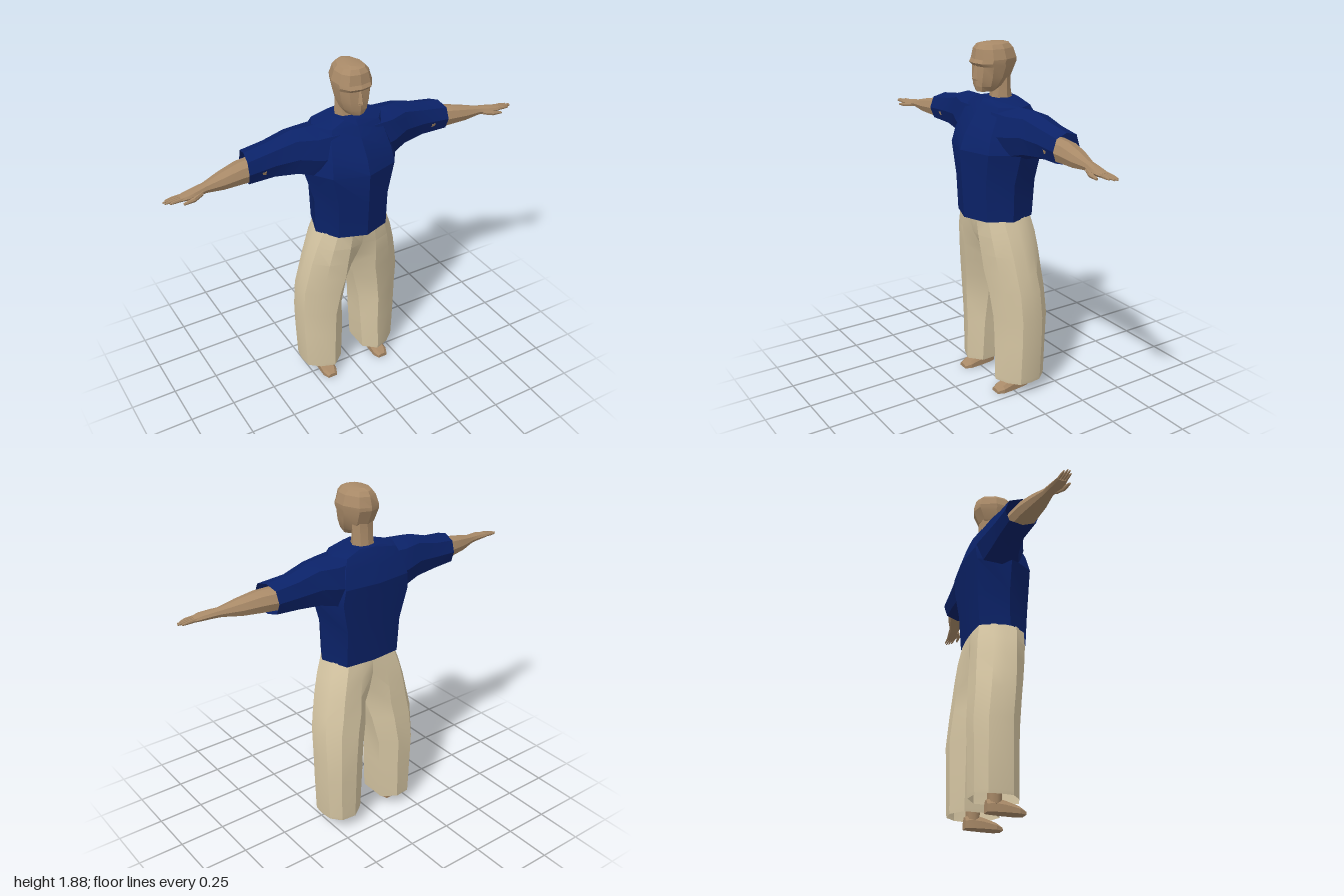
import * as THREE from 'three';
import { toCreasedNormals } from 'three/addons/utils/BufferGeometryUtils.js';

const skin = new THREE.MeshStandardMaterial({ color: 0xa98a68 });
skin.name = 'skin';
const shirtBlue = new THREE.MeshStandardMaterial({ color: 0x0b2268, side: THREE.DoubleSide });
shirtBlue.name = 'shirt blue';
const khaki = new THREE.MeshStandardMaterial({ color: 0xd6c6a3, side: THREE.DoubleSide });
khaki.name = 'khaki';

// Skin over a row of equal-length point rings, facing outwards
function loft(name, material, rings, { capStart = true, capEnd = true, crease = 0.35, mirror = 1 } = {}) {
  const n = rings[0].length;
  const pts = rings.flat().map(([x, y, z]) => new THREE.Vector3(x * mirror, y, z));
  const index = [];
  for (let r = 0; r < rings.length - 1; r++) {
    for (let i = 0; i < n; i++) {
      const a = r * n + i, b = r * n + (i + 1) % n;
      index.push(a, b, a + n, b, b + n, a + n);
    }
  }
  const addCap = (start, flip) => {
    const c = new THREE.Vector3();
    for (let i = 0; i < n; i++) c.addScaledVector(pts[start + i], 1 / n);
    const ci = pts.push(c) - 1;
    for (let i = 0; i < n; i++) {
      const a = start + i, b = start + (i + 1) % n;
      index.push(ci, flip ? b : a, flip ? a : b);
    }
  };
  const last = (rings.length - 1) * n;
  if (capStart) addCap(0, true);
  if (capEnd) addCap(last, false);

  // Turn the faces around if the enclosed volume is negative
  const mid = new THREE.Vector3();
  pts.forEach((p) => mid.addScaledVector(p, 1 / pts.length));
  const [u, v, w] = [0, 1, 2].map(() => new THREE.Vector3());
  let volume = 0;
  for (let i = 0; i < index.length; i += 3) {
    u.subVectors(pts[index[i]], mid);
    v.subVectors(pts[index[i + 1]], mid);
    w.subVectors(pts[index[i + 2]], mid);
    volume += u.dot(v.cross(w));
  }
  if (volume < 0) index.reverse();

  const geometry = new THREE.BufferGeometry().setFromPoints(pts);
  geometry.setIndex(index);
  const mesh = new THREE.Mesh(toCreasedNormals(geometry, crease), material);
  mesh.name = name;
  return mesh;
}

// Close a half outline [x, z] (front to back) into a symmetric ring at height y
function symmetric(y, half) {
  const other = half.slice(1, -1).reverse().map(([x, z]) => [-x, z]);
  return [...half, ...other].map(([x, z]) => [x, y, z]);
}

// Rounded section across the x axis
function armRing([x, top, bottom, front, back], sides = 8, slant = 0) {
  return Array.from({ length: sides }, (_, i) => {
    const a = (i / sides) * Math.PI * 2;
    const soft = (t) => Math.sign(t) * Math.abs(t) ** 0.8;
    const c = soft(Math.cos(a)), s = soft(Math.sin(a));
    return [x + slant * c, (top + bottom) / 2 + s * (top - bottom) / 2, (front + back) / 2 + c * (front - back) / 2];
  });
}

// Rectangular section across the z axis, narrower on top
const footRing = ([z, x0, x1, h]) =>
  [[x0, 0, z], [x1, 0, z], [x1, h * 0.6, z], [x1 - 0.015, h, z], [x0 + 0.015, h, z], [x0, h * 0.6, z]];

function createHead() {
  const head = new THREE.Group();
  head.name = 'head';
  // y, half width, front half width, front z, back z
  const rings = [
    [1.638, 0.045, 0.028, 0.098, -0.01],
    [1.665, 0.066, 0.04, 0.105, -0.05],
    [1.71, 0.083, 0.05, 0.106, -0.092],
    [1.765, 0.092, 0.055, 0.102, -0.115],
    [1.782, 0.095, 0.058, 0.118, -0.122],
    [1.80, 0.096, 0.058, 0.108, -0.122],
    [1.85, 0.08, 0.05, 0.1, -0.108],
    [1.872, 0.062, 0.04, 0.085, -0.092],
    [1.88, 0.03, 0.022, 0.06, -0.06],
  ].map(([y, w, f, zf, zb]) => symmetric(y, [
    [0, zf], [f, zf - 0.012], [w * 0.94, zf * 0.5], [w, (zf + zb) / 2 - 0.01], [w * 0.62, zb + 0.02], [0, zb],
  ]));
  head.add(loft('skull', skin, rings, { crease: 0.3 }));
  head.add(loft('nose', skin, [
    symmetric(1.695, [[0, 0.118], [0.016, 0.1], [0, 0.09]]),
    symmetric(1.705, [[0, 0.125], [0.016, 0.1], [0, 0.09]]),
    symmetric(1.77, [[0, 0.108], [0.008, 0.098], [0, 0.09]]),
  ], { crease: 0.1 }));
  head.add(loft('neck', skin, [[1.56, 0.064, 0.015, -0.105], [1.64, 0.06, 0.0, -0.092], [1.72, 0.062, 0.0, -0.088]]
    .map(([y, w, zf, zb]) => symmetric(y, [
      [0, zf], [w * 0.65, zf - 0.01], [w, (zf + zb) / 2], [w * 0.65, zb + 0.01], [0, zb],
    ]))));
  return head;
}

function createTorso() {
  // y, half width, front z, back z
  const rings = [
    [0.985, 0.215, 0.18, -0.15],
    [1.18, 0.218, 0.192, -0.165],
    [1.35, 0.268, 0.2, -0.182],
    [1.43, 0.255, 0.172, -0.19],
    [1.52, 0.23, 0.112, -0.16],
    [1.572, 0.2, 0.078, -0.138],
    [1.6, 0.085, 0.058, -0.125],
  ].map(([y, w, zf, zb]) => symmetric(y, [
    [0, zf], [w * 0.66, zf * 0.72], [w, (zf + zb) / 2], [w * 0.76, zb * 0.9], [0, zb],
  ]));
  return loft('shirtBody', shirtBlue, rings, { capStart: false });
}

function createArm(mirror) {
  const arm = new THREE.Group();
  arm.name = mirror > 0 ? 'leftArm' : 'rightArm';
  const sleeve = [
    [0.1, 1.28, 1.585, 0.11, -0.165],
    [0.21, 1.31, 1.575, 0.095, -0.165],
    [0.31, 1.34, 1.575, 0.055, -0.143],
    [0.43, 1.358, 1.54, 0.035, -0.135],
    [0.562, 1.367, 1.522, 0.046, -0.13],
  ].map(([x, b, t, f, k], i) => armRing([x, t, b, f, k], 8, i === 4 ? 0.013 : 0));
  arm.add(loft('sleeve', shirtBlue, sleeve, { capStart: false, capEnd: false, mirror }));

  // x, top, bottom, front, back
  const forearm = [
    [0.48, 1.49, 1.375, 0.035, -0.105],
    [0.6, 1.488, 1.382, 0.038, -0.085],
    [0.7, 1.468, 1.388, 0.04, -0.058],
    [0.79, 1.446, 1.402, 0.034, -0.024],
    [0.83, 1.442, 1.404, 0.045, -0.018],
    [0.88, 1.436, 1.404, 0.056, -0.01],
    [0.92, 1.428, 1.406, 0.05, -0.004],
  ].map((r) => armRing(r));
  arm.add(loft('forearmAndPalm', skin, forearm, { mirror }));

  // Four fingers from front to back, then the thumb
  [0.975, 0.995, 1.0, 0.985].forEach((tip, i) => {
    const z = 0.043 - i * 0.013;
    arm.add(loft('finger', skin, [
      armRing([0.9, 1.428, 1.41, z + 0.006, z - 0.006], 6),
      armRing([0.95, 1.425, 1.409, z + 0.006, z - 0.006], 6),
      armRing([tip, 1.418, 1.41, z + 0.003, z - 0.003], 6),
    ], { mirror }));
  });
  arm.add(loft('thumb', skin, [
    armRing([0.81, 1.43, 1.406, 0.045, 0.02], 6),
    armRing([0.86, 1.422, 1.398, 0.067, 0.045], 6),
    armRing([0.915, 1.41, 1.398, 0.068, 0.056], 6),
  ], { mirror }));
  return arm;
}

function createLeg(mirror) {
  const leg = new THREE.Group();
  leg.name = mirror > 0 ? 'leftLeg' : 'rightLeg';
  // y, inner x, outer x, front z, back z, inner front z, inner back z
  const trouser = [
    [0.99, 0, 0.198, 0.146, -0.14, 0.146, -0.142],
    [0.9, 0, 0.232, 0.142, -0.156, 0.128, -0.14],
    [0.8, 0, 0.26, 0.13, -0.166, 0.075, -0.115],
    [0.7, 0, 0.28, 0.118, -0.174, 0.02, -0.08],
    [0.6, 0.022, 0.298, 0.102, -0.182, 0, -0.11],
    [0.44, 0.055, 0.3, 0.086, -0.195, 0, -0.13],
    [0.3, 0.06, 0.297, 0.08, -0.19, 0.015, -0.13],
    [0.085, 0.072, 0.287, 0.08, -0.186, 0.02, -0.13],
    [0.065, 0.074, 0.284, 0.078, -0.184, 0.02, -0.13],
  ].map(([y, xi, xo, zf, zb, fi, bi]) => {
    const d = xo - xi, m = (zf + zb) / 2;
    return [
      [xi, fi], [xi + d * 0.33, zf], [xi + d * 0.7, zf - 0.028], [xo - d * 0.03, m + 0.055], [xo, m - 0.01],
      [xo - d * 0.04, m - 0.07], [xi + d * 0.75, zb + 0.008], [xi + d * 0.36, zb], [xi, bi],
    ].map(([x, z]) => [x, y, z]);
  });
  leg.add(loft('trouserLeg', khaki, trouser, { capStart: false, capEnd: false, crease: 0.5, mirror }));

  // Bare foot and shin inside the wide hem
  leg.add(loft('foot', skin, [
    [0.096, 0.142, 0.196, 0.022],
    [0.06, 0.128, 0.21, 0.038],
    [-0.01, 0.13, 0.208, 0.06],
    [-0.07, 0.136, 0.202, 0.07],
    [-0.1, 0.144, 0.196, 0.06],
  ].map(footRing), { mirror }));
  const shin = new THREE.Mesh(new THREE.CylinderGeometry(0.055, 0.036, 0.42, 8), skin);
  shin.name = 'shin';
  shin.position.set(0.169 * mirror, 0.25, -0.056);
  leg.add(shin);
  return leg;
}

export function createModel() {
  const figure = new THREE.Group();
  figure.name = 'figure';
  figure.add(createHead(), createTorso());
  for (const side of [1, -1]) figure.add(createArm(side), createLeg(side));
  return figure;
}
